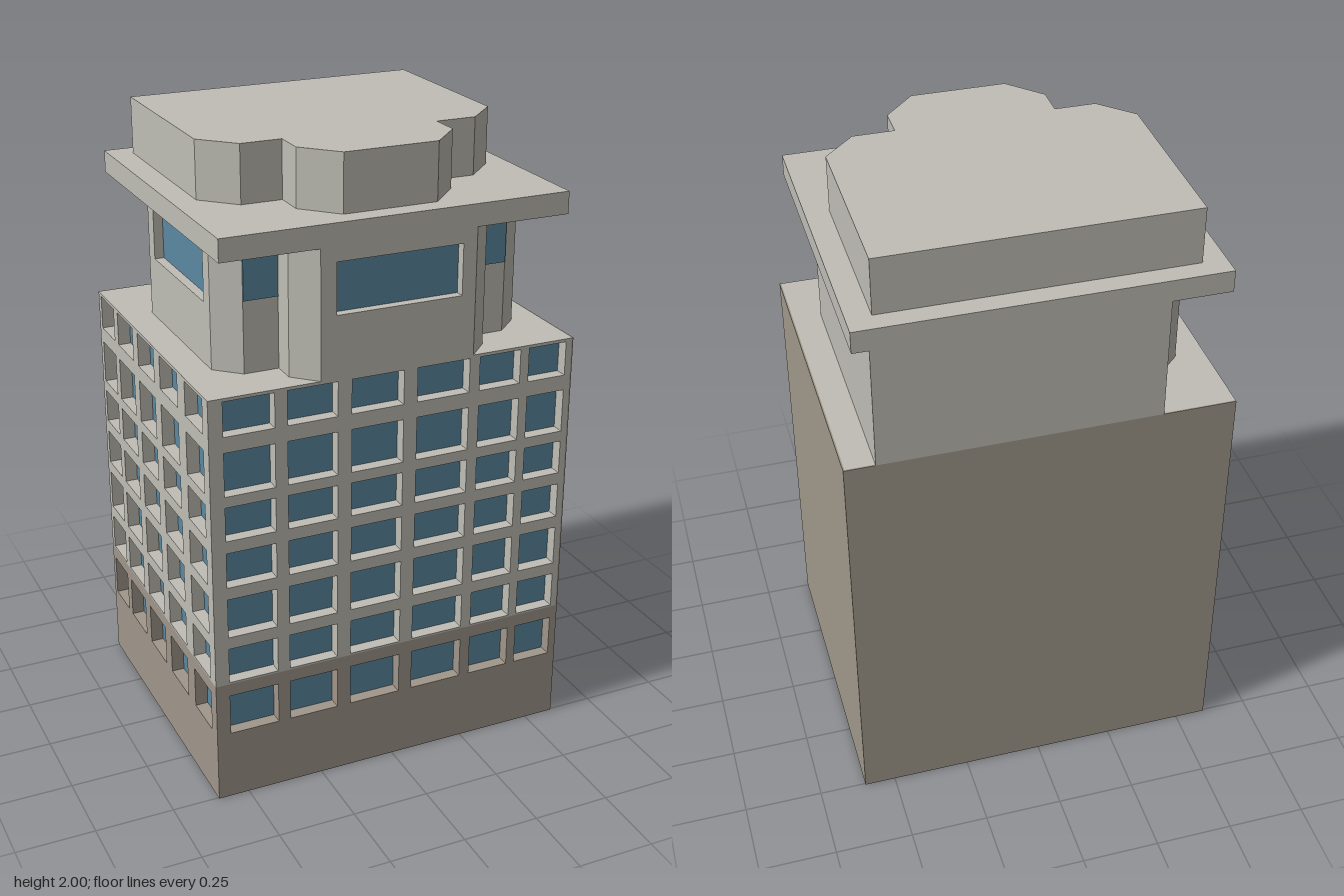
import * as THREE from 'three';

const mat = (name, color) => {
  const m = new THREE.MeshStandardMaterial({ color });
  m.name = name;
  return m;
};

export function createModel() {
  const group = new THREE.Group();
  const concrete = mat('concrete', 0xbfbdb5);
  const stone = mat('stone', 0xa0978a);
  const glass = mat('glass', 0x5a88a0);

  const add = (name, geo, material) => {
    const mesh = new THREE.Mesh(geo, material);
    mesh.name = name;
    group.add(mesh);
    return mesh;
  };
  // box given by its two extreme corners
  const box = (name, material, x0, x1, y0, y1, z0, z1) =>
    add(name, new THREE.BoxGeometry(x1 - x0, y1 - y0, z1 - z0), material)
      .position.set((x0 + x1) / 2, (y0 + y1) / 2, (z0 + z1) / 2);
  // floor outline of [x, z] points raised from y0 to y1
  const storey = (name, outline, y0, y1) => {
    const shape = new THREE.Shape(outline.map(([x, z]) => new THREE.Vector2(x, -z)));
    const geo = new THREE.ExtrudeGeometry(shape, { depth: y1 - y0, bevelEnabled: false });
    geo.rotateX(-Math.PI / 2).translate(0, y0, 0);
    add(name, geo, concrete);
  };
  const rect = (path, u0, u1, v0, v1) => {
    path.moveTo(u0, v0);
    path.lineTo(u1, v0);
    path.lineTo(u1, v1);
    path.lineTo(u0, v1);
    path.closePath();
    return path;
  };

  // main block: solid core whose front and left faces are the glazing
  const H = 1.35, D = 0.04, split = 0.407;
  const core = new THREE.BoxGeometry(1.155, H, 0.965);
  core.translate(0.0175, H / 2, -0.0175);
  add('glazedCore', core, [stone, glass, concrete, concrete, glass, stone]);

  // plain walls on the right-hand and rear sides
  box('plainSideWall', stone, 0.595, 0.6, 0, H, -0.505, 0.505);
  box('plainRearWall', stone, -0.6, 0.595, 0, H, -0.505, -0.5);

  // window grids cut through the two facades
  const rows = [[0.23, 0.365], [0.413, 0.53], [0.57, 0.70], [0.74, 0.855],
    [0.895, 1.005], [1.04, 1.18], [1.23, 1.34]];
  const frontCols = [[-0.555, -0.395], [-0.355, -0.195], [-0.15, 0.02],
    [0.065, 0.24], [0.275, 0.415], [0.445, 0.575]];
  const sideCols = [[-0.48, -0.35], [-0.31, -0.16], [-0.11, 0.04], [0.095, 0.25], [0.315, 0.46]];

  const facade = (u0, u1, v0, v1, cols, levels) => {
    const shape = rect(new THREE.Shape(), u0, u1, v0, v1);
    for (const [a, b] of cols)
      for (const [c, d] of levels) shape.holes.push(rect(new THREE.Path(), a, b, c, d));
    return new THREE.ExtrudeGeometry(shape, { depth: D, bevelEnabled: false });
  };
  const bands = [['base', stone, 0, split, rows.slice(0, 1)],
    ['upper', concrete, split, H, rows.slice(1)]];
  for (const [name, material, y0, y1, levels] of bands) {
    add(name + 'FrontFacade',
      facade(-0.6, 0.595, y0, y1, frontCols, levels).translate(0, 0, 0.465), material);
    add(name + 'SideFacade',
      facade(-0.5, 0.465, y0, y1, sideCols, levels).rotateY(-Math.PI / 2).translate(-0.56, 0, 0),
      material);
  }

  // penthouse: the middle band is notched for the recessed windows
  const penthouse = (notched) => [
    [0.505, -0.505], [0.505, 0.29], [0.43, 0.36], [0.32, 0.36], [0.32, 0.435], [0.25, 0.505],
    ...(notched ? [[0.205, 0.505], [0.205, 0.47], [-0.2, 0.47], [-0.2, 0.505]] : []),
    [-0.25, 0.505], [-0.32, 0.435], [-0.32, 0.36], [-0.43, 0.36], [-0.505, 0.29],
    ...(notched ? [[-0.505, 0.24], [-0.47, 0.24], [-0.47, -0.19], [-0.505, -0.19]] : []),
    [-0.505, -0.24], [-0.43, -0.31], [-0.37, -0.31], [-0.37, -0.505],
  ];
  storey('penthouseSillBand', penthouse(false), H, 1.545);
  storey('penthouseWindowBand', penthouse(true), 1.545, 1.705);
  storey('penthouseTopBand', penthouse(false), 1.705, 1.75);
  box('penthouseFrontWindow', glass, -0.2, 0.205, 1.545, 1.705, 0.468, 0.475);
  box('penthouseSideWindow', glass, -0.475, -0.468, 1.545, 1.705, -0.19, 0.24);
  for (const s of [-1, 1])
    box('cornerWindow', glass, s * 0.375 - 0.054, s * 0.375 + 0.054, 1.575, 1.70, 0.357, 0.364);

  // roof slab and stepped cap
  box('roofSlab', concrete, -0.555, 0.555, 1.75, 1.82, -0.505, 0.505);
  const half = [[0.48, -0.44], [0.48, 0.135], [0.38, 0.235], [0.25, 0.235], [0.25, 0.335], [0.15, 0.44]];
  storey('roofCap', [...half, ...half.map(([x, z]) => [-x, z]).reverse()], 1.82, 2);

  return group;
}
